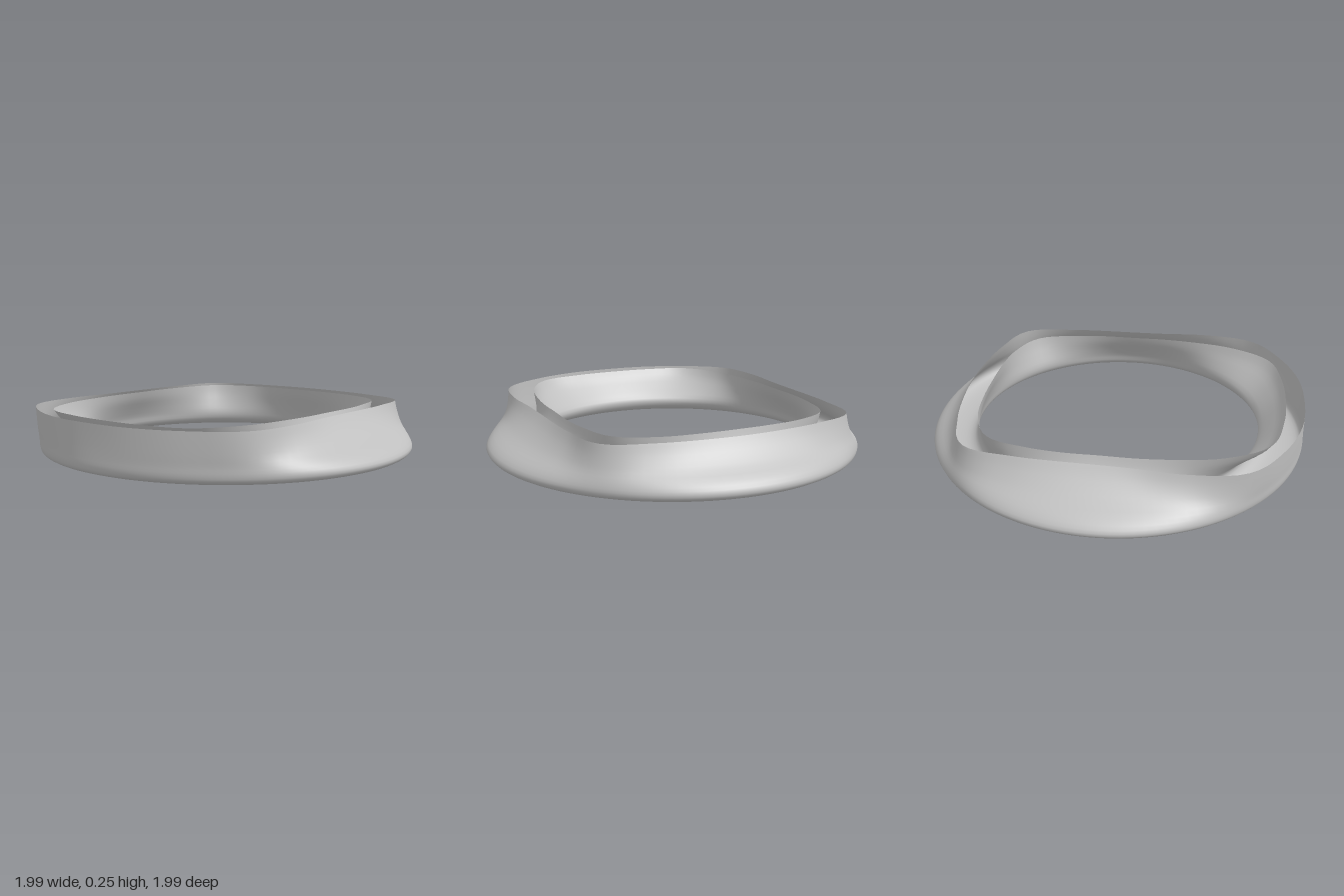
import * as THREE from 'three';

const SEGMENTS = 120; // around the ring
const STEPS = 36;     // along each cross-section
const HEIGHT = 0.25;

// Rim radii every 15 degrees, from the back (-z) round one side to the front (+z)
const OUTER_RIM = [0.81, 0.825, 0.875, 0.937, 0.833, 0.762, 0.74, 0.774, 0.878, 1.0, 1.005, 0.998, 0.987];
const INNER_RIM = [0.70, 0.72, 0.77, 0.805, 0.735, 0.683, 0.66, 0.685, 0.745, 0.845, 0.93, 0.905, 0.89];

// Smooth mirrored interpolation of a radius table
function radiusAt(table, turn) {
  const n = (table.length - 1) * 2;
  const at = (i) => {
    const k = ((i % n) + n) % n;
    return table[k < table.length ? k : n - k];
  };
  const i = Math.floor(turn * n), t = turn * n - i;
  const a = at(i - 1), b = at(i), c = at(i + 1), d = at(i + 2);
  return b + 0.5 * t * (c - a + t * (2 * a - 5 * b + 4 * c - d + t * (3 * (b - c) + d - a)));
}

// Open U-shaped section: down the outer wall, under the rounded base, up the inner wall
function sectionAt(turn) {
  const outer = radiusAt(OUTER_RIM, turn);
  const inner = radiusAt(INNER_RIM, turn);
  const wide = 0.995, hole = 0.76;
  const out = (t) => outer + (wide - outer) * t;
  const inn = (t) => inner + (hole - inner) * t;
  return new THREE.SplineCurve([
    [outer, HEIGHT], [out(0.17), 0.2], [out(0.47), 0.14], [out(0.84), 0.09],
    [wide, 0.05], [0.983, 0.02], [0.94, 0.004], [0.87, 0], [0.81, 0.008], [0.772, 0.035],
    [inn(0.98), 0.08], [inn(0.62), 0.14], [inn(0.22), 0.2], [inner, HEIGHT],
  ].map(([r, y]) => new THREE.Vector2(r, y)));
}

function ringGeometry() {
  const positions = [], index = [];
  const row = STEPS + 1;
  for (let s = 0; s < SEGMENTS; s++) {
    const turn = s / SEGMENTS, angle = turn * Math.PI * 2;
    for (const p of sectionAt(turn).getPoints(STEPS)) {
      positions.push(p.x * Math.sin(angle), Math.max(0, p.y), -p.x * Math.cos(angle));
    }
    const next = (s + 1) % SEGMENTS;
    for (let k = 0; k < STEPS; k++) {
      const a = s * row + k, b = next * row + k;
      index.push(a, b, a + 1, b, b + 1, a + 1);
    }
  }
  const geometry = new THREE.BufferGeometry();
  geometry.setAttribute('position', new THREE.Float32BufferAttribute(positions, 3));
  geometry.setIndex(index);
  geometry.computeVertexNormals();
  return geometry;
}

export function createModel() {
  const group = new THREE.Group();
  group.name = 'openRing';
  const grey = new THREE.MeshStandardMaterial({ color: 0xbfbfbf, side: THREE.DoubleSide });
  grey.name = 'grey';

  // Hollow shell, open along the top between its two rims
  const shell = new THREE.Mesh(ringGeometry(), grey);
  shell.name = 'ringShell';
  group.add(shell);
  return group;
}
